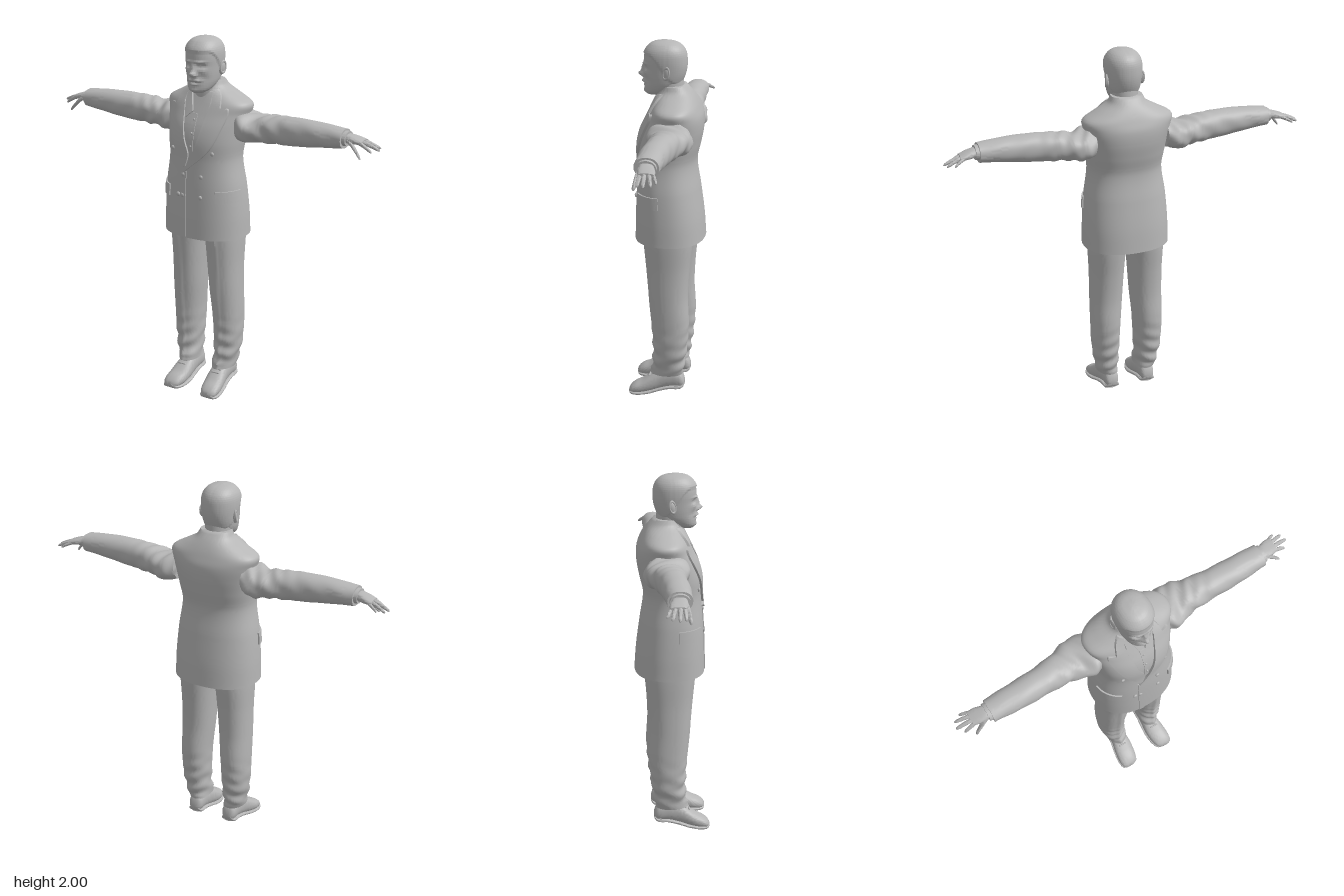
import * as THREE from 'three';
import { toCreasedNormals } from 'three/addons/utils/BufferGeometryUtils.js';

const { smoothstep } = THREE.MathUtils;
const grey = new THREE.MeshStandardMaterial({ color: 0xb6b6b6 });
grey.name = 'grey';

// Smoothly interpolated section [t, aMin, aMax, bMin, bMax] at t.
function rowAt(rows, t) {
  let i = 0;
  while (i < rows.length - 2 && t > rows[i + 1][0]) i++;
  const slope = (k, c) => {
    const p = rows[Math.max(k - 1, 0)], q = rows[Math.min(k + 1, rows.length - 1)];
    return (q[c] - p[c]) / (q[0] - p[0]);
  };
  const h = rows[i + 1][0] - rows[i][0], s = THREE.MathUtils.clamp((t - rows[i][0]) / h, 0, 1);
  const s2 = s * s, s3 = s2 * s;
  return [1, 2, 3, 4].map(c => (2 * s3 - 3 * s2 + 1) * rows[i][c] + (s3 - 2 * s2 + s) * h * slope(i, c)
    + (3 * s2 - 2 * s3) * rows[i + 1][c] + (s3 - s2) * h * slope(i + 1, c));
}

const power = (v, n) => Math.sign(v) * Math.abs(v) ** (2 / n);
function ringPoint(rows, t, angle, n) {
  const [a0, a1, b0, b1] = rowAt(rows, t);
  return [(a0 + a1) / 2 + (a1 - a0) / 2 * power(Math.cos(angle), n), t,
    (b0 + b1) / 2 + (b1 - b0) / 2 * power(Math.sin(angle), n)];
}

function indexed(pos, idx, crease) {
  const g = new THREE.BufferGeometry();
  g.setAttribute('position', new THREE.Float32BufferAttribute(pos, 3));
  g.setIndex(idx);
  return toCreasedNormals(g, crease);
}

// Capped loft; axis tells which way the sections are stacked.
const axes = { y: (a, t, b) => [a, t, b], x: (a, t, b) => [t, b, a], z: (a, t, b) => [b, a, t] };
function loft(rows, { n = 2, segs = 40, steps = 40, axis = 'y', shape = null, crease = 0.9 } = {}) {
  const pos = [], idx = [], t0 = rows[0][0], t1 = rows[rows.length - 1][0];
  const put = p => {
    const v = new THREE.Vector3(...axes[axis](...p));
    if (shape) shape(v);
    pos.push(v.x, v.y, v.z);
  };
  for (let j = 0; j <= steps; j++)
    for (let i = 0; i < segs; i++) put(ringPoint(rows, t0 + (t1 - t0) * j / steps, i / segs * Math.PI * 2, n));
  for (const t of [t0, t1]) {
    const r = rowAt(rows, t);
    put([(r[0] + r[1]) / 2, t, (r[2] + r[3]) / 2]);
  }
  const end = (steps + 1) * segs, last = steps * segs;
  for (let i = 0; i < segs; i++) {
    const k = (i + 1) % segs;
    for (let j = 0; j < steps; j++) {
      const p = j * segs + i, q = j * segs + k;
      idx.push(p, p + segs, q, q, p + segs, q + segs);
    }
    idx.push(end, i, k, end + 1, last + k, last + i);
  }
  return indexed(pos, idx, crease);
}

// Raised patch laid on a surface, with edges stepping down into it.
function patch(at, lift = 0.008, nu = 20, nv = 8) {
  const pos = [], idx = [], cols = nv + 3;
  const param = (i, m) => THREE.MathUtils.clamp((i - 1) / m, 0, 1);
  for (let i = 0; i < nu + 3; i++) for (let j = 0; j < cols; j++) {
    const rim = i === 0 || j === 0 || i === nu + 2 || j === nv + 2;
    pos.push(...at(param(i, nu), param(j, nv), rim ? -0.004 : lift));
  }
  const c = Math.floor(nu / 2) * cols + 3;
  const v = k => new THREE.Vector3().fromArray(pos, k * 3);
  const up = v(c + cols).sub(v(c)).cross(v(c + 1).sub(v(c))).z > 0;
  for (let i = 0; i < nu + 2; i++) for (let j = 0; j < nv + 2; j++) {
    const p = i * cols + j, q = p + cols;
    idx.push(...(up ? [p, q, p + 1, p + 1, q, q + 1] : [p, p + 1, q, p + 1, q + 1, q]));
  }
  return indexed(pos, idx, 0.6);
}

function mirrored(geo) {
  const g = (geo.index ? geo.toNonIndexed() : geo.clone()).scale(-1, 1, 1), idx = [];
  for (let i = 0; i < g.attributes.position.count; i += 3) idx.push(i, i + 2, i + 1);
  return g.setIndex(idx);
}

// Body sections
const even = (y, w, back, front) => [y, -w, w, back, front];
const coat = [even(0.92, 0.237, -0.2, 0.18), even(1.05, 0.234, -0.19, 0.177), even(1.2, 0.223, -0.17, 0.171),
  even(1.35, 0.203, -0.15, 0.16), even(1.45, 0.214, -0.17, 0.158), even(1.53, 0.225, -0.184, 0.14),
  even(1.6, 0.238, -0.184, 0.108), even(1.65, 0.243, -0.168, 0.084), even(1.69, 0.175, -0.15, 0.066),
  even(1.73, 0.105, -0.125, 0.05), even(1.765, 0.085, -0.095, 0.035)];
const neck = [even(1.6, 0.08, -0.1, 0.065), even(1.7, 0.075, -0.085, 0.072),
  even(1.76, 0.072, -0.08, 0.075), even(1.82, 0.072, -0.075, 0.06)];
const skull = [even(1.71, 0.03, 0.05, 0.115), even(1.725, 0.055, 0.01, 0.129), even(1.76, 0.076, -0.05, 0.132),
  even(1.8, 0.085, -0.074, 0.134), even(1.85, 0.09, -0.088, 0.134), even(1.9, 0.093, -0.09, 0.135),
  even(1.94, 0.089, -0.084, 0.128), even(1.97, 0.074, -0.066, 0.108), even(1.99, 0.049, -0.035, 0.08),
  even(2.0, 0.01, 0.01, 0.035)];
const sleeve = [[0.2, -0.14, 0.06, 1.46, 1.62], [0.245, -0.165, 0.08, 1.447, 1.605], [0.3, -0.162, 0.055, 1.455, 1.595],
  [0.38, -0.135, 0.042, 1.46, 1.607], [0.5, -0.112, 0.037, 1.465, 1.615], [0.6, -0.105, 0.04, 1.475, 1.615],
  [0.7, -0.1, 0.037, 1.488, 1.61], [0.81, -0.095, 0.03, 1.5, 1.6]];
const trouser = [[0.13, 0.053, 0.168, -0.095, 0.08], [0.2, 0.055, 0.185, -0.105, 0.065], [0.3, 0.05, 0.2, -0.12, 0.063],
  [0.45, 0.043, 0.205, -0.13, 0.073], [0.6, 0.03, 0.205, -0.123, 0.087], [0.75, 0.02, 0.205, -0.13, 0.098],
  [0.9, 0.008, 0.21, -0.145, 0.112], [1, -0.01, 0.21, -0.15, 0.12]];
const shoe = [[-0.105, 0.065, 0.1, 0.085, 0.13], [-0.09, 0.05, 0.14, 0.07, 0.145], [-0.03, 0.045, 0.16, 0.065, 0.15],
  [0.03, 0.03, 0.15, 0.06, 0.155], [0.08, 0.015, 0.12, 0.056, 0.165], [0.13, 0.005, 0.085, 0.06, 0.172],
  [0.17, 0.002, 0.065, 0.07, 0.172], [0.195, 0.004, 0.045, 0.085, 0.163], [0.205, 0.012, 0.03, 0.11, 0.145]];
const palm = [[0.78, -0.07, 0.003, 1.525, 1.58], [0.83, -0.075, 0.003, 1.53, 1.578],
  [0.87, -0.088, 0.002, 1.53, 1.568], [0.91, -0.09, -0.01, 1.53, 1.555]];

// Face relief: [x, y, spread x, spread y, depth], the same on both sides.
const relief = [[0, 1.816, 0.015, 0.016, 0.03], [0, 1.848, 0.011, 0.024, 0.016], [0.017, 1.81, 0.009, 0.009, 0.01],
  [0.038, 1.856, 0.02, 0.013, -0.016], [0.037, 1.856, 0.011, 0.006, 0.007], [0.036, 1.879, 0.025, 0.006, 0.009],
  [0.02, 1.783, 0.022, 0.008, 0.014], [0, 1.768, 0.03, 0.004, -0.006], [0, 1.759, 0.02, 0.005, 0.006],
  [0, 1.728, 0.025, 0.012, 0.007], [0.052, 1.833, 0.018, 0.016, 0.006], [0.055, 1.79, 0.018, 0.02, -0.006]];
function sculptHead(v) {
  const front = smoothstep(v.z, 0.02, 0.07), x = Math.abs(v.x);
  const line = 1.775 + 0.155 * smoothstep(v.z, -0.05, 0.1), hair = smoothstep(v.y, line - 0.004, line + 0.006);
  for (const [cx, cy, sx, sy, d] of relief)
    v.z += front * d * Math.exp(-(((x - cx) / sx) ** 2) - ((v.y - cy) / sy) ** 2);
  v.x *= 1 + 0.07 * hair;
  v.z += (v.z - 0.02) * 0.06 * hair;
}
// Front crease and folds at the ankle and knee
function foldTrouser(v) {
  const low = 1 - smoothstep(v.y, 0.2, 0.5), z = v.z;
  if (z > 0) v.z += 0.009 * Math.exp(-(((v.x - 0.12) / 0.012) ** 2));
  if (v.y > 0.15) v.z += 0.006 * low * Math.sin(v.y * 75 + v.x * 25);
  v.x += 0.003 * low * Math.sin(v.y * 60 + z * 30);
}
function foldSleeve(v) {
  const near = 1 - smoothstep(v.x, 0.3, 0.55);
  v.y += 0.005 * near * Math.sin(v.x * 80 + v.z * 45);
  v.z += 0.004 * Math.sin(v.x * 45 + v.y * 50) * (0.3 + near);
}

const COAT_N = 2.3;
function onFront(x, y, lift) {
  const [, w, b, f] = rowAt(coat, y), u = Math.min(Math.abs(x / w), 0.98);
  return [x, y, (b + f) / 2 + (f - b) / 2 * (1 - u ** COAT_N) ** (1 / COAT_N) + lift];
}
function onSide(angle, y, lift) {
  const [x, , z] = ringPoint(coat, y, angle, COAT_N);
  return [x + lift * Math.cos(angle), y, z + lift * Math.sin(angle)];
}
// Patch between two edge curves on the coat front
function panel(inner, outer, lift, nv) {
  const [a, b] = [inner, outer].map(e => new THREE.SplineCurve(e.map(p => new THREE.Vector2(...p))));
  return patch((u, v, l) => {
    const p = a.getPoint(u).lerp(b.getPoint(u), v);
    return onFront(p.x, p.y, l);
  }, lift, 36, nv);
}

export function createModel() {
  const model = new THREE.Group();
  model.name = 'suitedMan';
  const add = (name, geo) => {
    const m = new THREE.Mesh(geo, grey);
    m.name = name;
    model.add(m);
  };
  const pair = (name, geo) => { add(name + 'Left', geo); add(name + 'Right', mirrored(geo)); };

  // Head and neck
  add('head', loft(skull, { n: 2.15, segs: 128, steps: 110, shape: sculptHead, crease: 1.3 }));
  add('neck', loft(neck, { steps: 16 }));
  pair('ear', new THREE.SphereGeometry(1, 16, 12).scale(0.011, 0.034, 0.02).rotateX(-0.2).rotateY(-0.35).translate(0.094, 1.835, 0));
  pair('earRim', new THREE.TorusGeometry(0.02, 0.005, 8, 20).scale(0.85, 1.5, 1).rotateY(Math.PI / 2 - 0.35).rotateX(-0.2).translate(0.1, 1.84, 0));

  // Jacket
  add('jacket', loft(coat, { n: COAT_N, segs: 80, steps: 90 }));
  add('lapelLeft', panel([[0.085, 1.67], [0.075, 1.62], [0.045, 1.48], [0, 1.36], [-0.05, 1.29]],
    [[0.125, 1.625], [0.175, 1.632], [0.16, 1.54], [0.1, 1.41], [-0.045, 1.28]], 0.014));
  add('lapelRight', panel([[-0.085, 1.67], [-0.075, 1.62], [-0.045, 1.48], [-0.015, 1.39], [-0.03, 1.32]],
    [[-0.125, 1.625], [-0.175, 1.632], [-0.16, 1.54], [-0.1, 1.41], [-0.045, 1.31]], 0.011));
  pair('jacketCollar', panel([[0.07, 1.725], [0.078, 1.69], [0.085, 1.645]], [[0.092, 1.728], [0.12, 1.69], [0.135, 1.637]], 0.014));
  add('frontEdge', panel([[-0.055, 1.29], [-0.055, 0.925]], [[-0.025, 1.29], [-0.025, 0.925]], 0.005, 3));
  pair('pocketFlap', patch((u, v, l) => onSide(0.1 + 0.85 * u, 1.13 + 0.065 * v, l), 0.008));
  for (const [x, y] of [[-0.13, 1.4], [0.12, 1.4], [-0.045, 1.27], [0.065, 1.27], [-0.045, 1.157], [0.065, 1.157], [-0.075, 1.157]])
    add('jacketButton', new THREE.SphereGeometry(0.012, 14, 8).scale(1, 1, 0.6).translate(...onFront(x, y, 0.003)));

  // Shirt
  pair('shirtCollar', panel([[0.055, 1.715], [0.035, 1.66], [0.018, 1.61]], [[0.075, 1.715], [0.075, 1.65], [0.055, 1.575]], 0.013));
  add('shirtPlacket', panel([[-0.014, 1.6], [-0.012, 1.37]], [[0.014, 1.6], [0.012, 1.37]], 0.004, 3));
  for (const y of [1.57, 1.5, 1.43])
    add('shirtButton', new THREE.SphereGeometry(0.006, 10, 6).translate(...onFront(0, y, 0.004)));

  // Arms and hands
  pair('sleeve', loft(sleeve, { n: 2.2, axis: 'x', steps: 70, shape: foldSleeve }));
  pair('shirtCuff', loft([[0.79, -0.085, 0.02, 1.51, 1.593], [0.828, -0.083, 0.016, 1.515, 1.59]], { axis: 'x', steps: 4 }));
  pair('palm', loft(palm, { n: 2.5, axis: 'x', segs: 24, steps: 16 }));
  // Each digit: base x, y, z, then tip x, y, z, then radius
  for (const [x0, y0, z0, x1, y1, z1, r] of [[0.89, 1.542, -0.08, 0.948, 1.515, -0.106, 0.009], [0.89, 1.545, -0.06, 0.985, 1.512, -0.085, 0.0105],
    [0.89, 1.545, -0.038, 0.995, 1.51, -0.05, 0.011], [0.89, 1.543, -0.018, 0.965, 1.503, -0.016, 0.0105],
    [0.835, 1.55, -0.008, 0.918, 1.468, 0.012, 0.0125]]) {
    const rows = [0, 0.35, 0.7, 0.93, 1].map((s, i) => {
      const k = r * [1, 1.02, 0.9, 0.65, 0.12][i], z = z0 + (z1 - z0) * s, y = y0 + (y1 - y0) * s ** 1.3;
      return [x0 + (x1 - x0) * s, z - k, z + k, y - k, y + k];
    });
    pair('finger', loft(rows, { axis: 'x', segs: 14, steps: 18, crease: 1.3 }));
  }

  // Legs and shoes
  pair('trouserLeg', loft(trouser, { n: 2.2, segs: 64, steps: 90, shape: foldTrouser }));
  pair('shoe', loft(shoe, { n: 2.3, axis: 'z', steps: 36 }));
  pair('sole', loft(shoe.map(([z, y0, , x0, x1]) => [z, y0 - 0.002, y0 + 0.016, x0 - 0.004, x1 + 0.004]), { n: 4, axis: 'z', steps: 36 }));
  pair('heel', new THREE.CylinderGeometry(0.038, 0.036, 0.02, 20).rotateX(0.15).translate(0.108, 0.053, -0.063));
  for (const [y, z] of [[0.14, 0.05], [0.127, 0.07], [0.113, 0.09]])
    pair('lace', new THREE.CapsuleGeometry(0.005, 0.04, 4, 8).rotateZ(Math.PI / 2).translate(0.112, y, z));
  return model;
}
